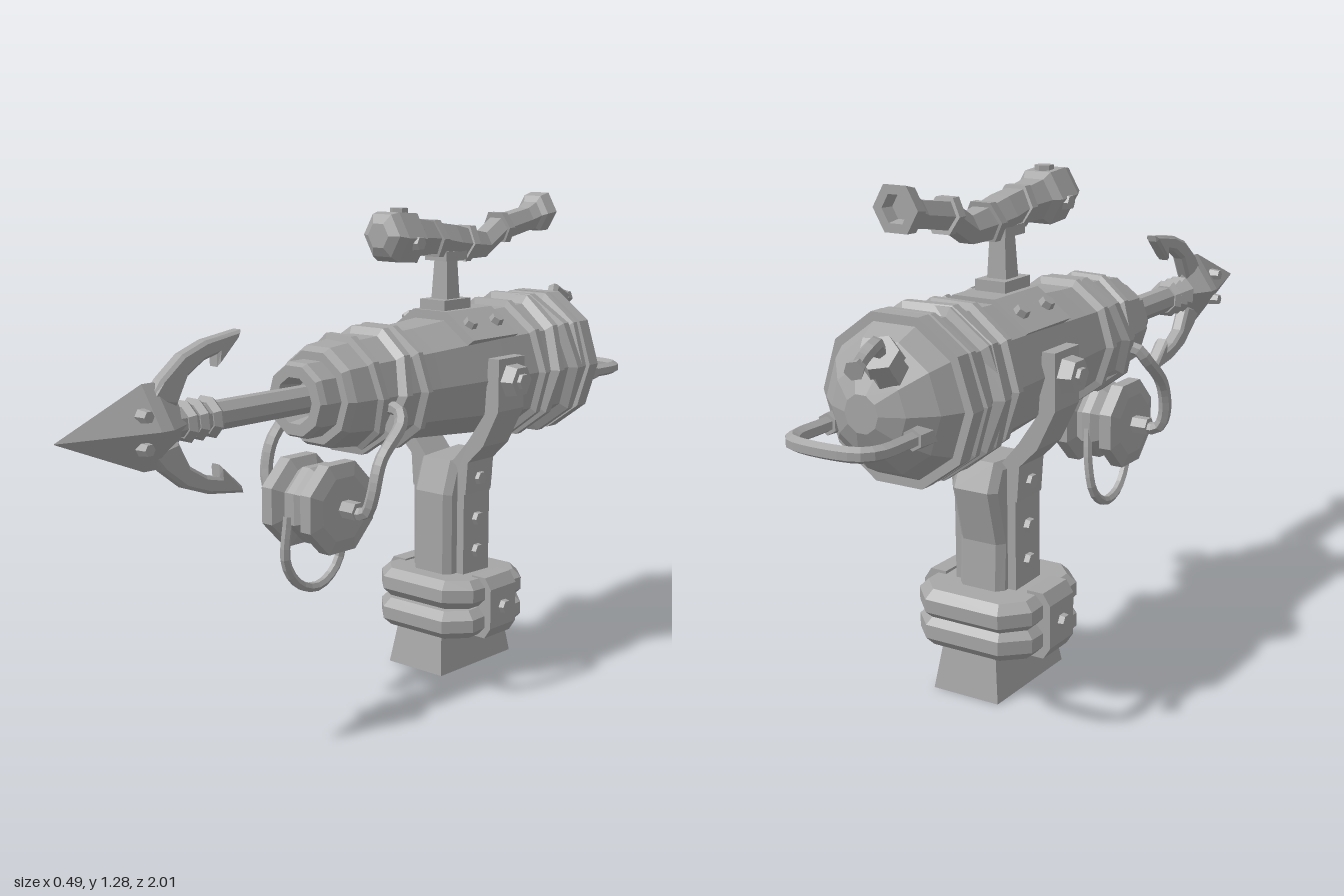
import * as THREE from 'three';

const AXIS = 0.81; // height of the barrel axis

export function createModel() {
  const root = new THREE.Group();
  const metal = new THREE.MeshStandardMaterial({ color: 0xa6a6a6, flatShading: true });
  metal.name = 'grey metal';

  function add(name, geo, x = 0, y = 0, z = 0) {
    const g = geo.index ? geo.toNonIndexed() : geo;
    g.computeVertexNormals();
    const m = new THREE.Mesh(g, metal);
    m.name = name;
    m.position.set(x, y, z);
    root.add(m);
    return m;
  }

  // Capped rings [z, radius, yOffset], listed front to back, optionally slanted
  function loft(rings, n, phase = Math.PI / 2 + Math.PI / n, tiltY = 0, tiltX = 0) {
    const pos = [], idx = [];
    rings.forEach(([z, r, cy = 0]) => {
      for (let j = 0; j < n; j++) {
        const a = phase + (j / n) * Math.PI * 2;
        const x = r * Math.cos(a), y = r * Math.sin(a);
        pos.push(x, y + cy, z + y * tiltY + x * tiltX);
      }
    });
    const last = rings.length - 1, c0 = rings.length * n;
    pos.push(0, rings[0][2] || 0, rings[0][0], 0, rings[last][2] || 0, rings[last][0]);
    for (let j = 0; j < n; j++) {
      const k = (j + 1) % n;
      for (let i = 0; i < last; i++) {
        const a = i * n + j, b = i * n + k, c = a + n, d = b + n;
        idx.push(a, c, b, b, c, d);
      }
      idx.push(c0, j, k, c0 + 1, last * n + k, last * n + j);
    }
    const g = new THREE.BufferGeometry();
    g.setAttribute('position', new THREE.Float32BufferAttribute(pos, 3));
    g.setIndex(idx);
    return g;
  }

  const shape = (pts) => new THREE.Shape(pts.map(([x, y]) => new THREE.Vector2(x, y)));

  function extrude(pts, depth, bevel = 0) {
    const g = new THREE.ExtrudeGeometry(shape(pts), {
      depth: depth - 2 * bevel, bevelEnabled: bevel > 0, bevelThickness: bevel,
      bevelSize: bevel, bevelOffset: -bevel, bevelSegments: 1,
    });
    return g.translate(0, 0, -(depth - 2 * bevel) / 2);
  }

  // Outline given as [z, y], thickness along x
  const sideExtrude = (pts, width, bevel) => extrude(pts, width, bevel).rotateY(-Math.PI / 2);

  function rod(name, a, b, r1, r2 = r1, n = 6) {
    const from = new THREE.Vector3(...a), to = new THREE.Vector3(...b);
    const dir = to.clone().sub(from);
    const m = add(name, new THREE.CylinderGeometry(r2, r1, dir.length(), n));
    m.position.copy(from).add(to).multiplyScalar(0.5);
    m.quaternion.setFromUnitVectors(new THREE.Vector3(0, 1, 0), dir.normalize());
    return m;
  }

  function tube(name, pts, r, seg = 18, closed = false) {
    const c = new THREE.CatmullRomCurve3(pts.map((p) => new THREE.Vector3(...p)), closed, 'centripetal');
    return add(name, new THREE.TubeGeometry(c, seg, r, 6, closed));
  }

  // Barrel with hollow muzzle, rear collar and domed end
  add('barrel', loft([
    [0.22, 0.05], [0.285, 0.06], [0.285, 0.09], [0.27, 0.098], [0.22, 0.098],
    [0.22, 0.12], [0.2, 0.132], [0.1, 0.142], [-0.1, 0.152], [-0.35, 0.172], [-0.68, 0.186],
    [-0.68, 0.204], [-0.72, 0.204], [-0.72, 0.182], [-0.77, 0.155], [-0.82, 0.1], [-0.845, 0.045],
  ], 10), 0, AXIS, 0);

  // Slanted wraps around the barrel: [z, radius, half width, tiltY, tiltX]
  [
    [0.1, 0.155, 0.02, 0.12, 0.12], [0.05, 0.165, 0.022, -0.25, -0.05], [-0.035, 0.168, 0.017, 0.05, 0],
    [-0.505, 0.196, 0.018, 0.05, 0.06], [-0.565, 0.204, 0.022, -0.1, 0.08],
    [-0.61, 0.207, 0.022, 0.12, -0.1], [-0.655, 0.203, 0.017, -0.04, 0],
  ].forEach(([z, r, w, ty, tx]) => add('barrelWrap', loft(
    [[z + w, r - 0.025], [z + w * 0.5, r], [z - w * 0.5, r], [z - w, r - 0.025]],
    10, undefined, ty, tx), 0, AXIS, 0));

  // Saddle plate over the barrel
  const polar = (r, deg) => [r * Math.cos(deg * Math.PI / 180), r * Math.sin(deg * Math.PI / 180)];
  add('saddlePlate', extrude([
    ...[36, 72, 108, 144].map((d) => polar(0.187, d)), ...[144, 108, 72, 36].map((d) => polar(0.15, d)),
  ], 0.19), 0, AXIS, -0.32);

  // Harpoon shaft, binding and head
  add('harpoonShaft', loft([[0.7, 0.036], [0.2, 0.036]], 8), 0, AXIS, 0);
  [0.64, 0.605, 0.565].forEach((z) => add('shaftBinding',
    loft([[z + 0.015, 0.04], [z, 0.053], [z - 0.015, 0.04]], 8, undefined, 0.1), 0, AXIS, 0));
  add('harpoonHead', loft([[1, 0.001], [0.76, 0.1], [0.725, 0.1], [0.66, 0.052]], 4, 0).scale(0.68, 1, 1), 0, AXIS, 0);
  for (const s of [1, -1]) {
    const fluke = [
      [0.75, 0.06], [0.715, 0.105], [0.65, 0.155], [0.58, 0.18], [0.47, 0.195], [0.475, 0.178],
      [0.545, 0.115], [0.545, 0.145], [0.585, 0.135], [0.635, 0.105], [0.67, 0.04],
    ].map(([z, y]) => [z, y * s]);
    add('harpoonFluke', sideExtrude(fluke, 0.04, 0.008), 0, AXIS, 0);
  }

  // Scope: bent hex tube, front cap, flared eyepiece
  add('scopeTube', loft([
    [-0.02, 0.035, 1.195], [-0.035, 0.062, 1.195], [-0.06, 0.073, 1.19], [-0.13, 0.073, 1.185],
    [-0.15, 0.055, 1.185], [-0.22, 0.047, 1.18], [-0.3, 0.052, 1.165], [-0.38, 0.044, 1.155], [-0.44, 0.038, 1.15],
    [-0.51, 0.038, 1.19], [-0.63, 0.036, 1.21], [-0.66, 0.042, 1.22], [-0.67, 0.056, 1.225],
    [-0.705, 0.06, 1.23], [-0.705, 0.036, 1.23], [-0.675, 0.03, 1.23],
  ], 6, 0));
  [[-0.23, 1.178, 0.056], [-0.36, 1.158, 0.054], [-0.52, 1.193, 0.047]].forEach(([z, y, r], i) =>
    add('scopeRing', loft([[z + 0.012, r], [z - 0.012, r]], 6, 0, i % 2 ? -0.2 : 0.2), 0, y, 0));
  add('scopePost', new THREE.CylinderGeometry(0.028, 0.04, 0.17, 4).rotateY(Math.PI / 4), 0, 1.07, -0.29);
  add('scopeFoot', new THREE.BoxGeometry(0.085, 0.04, 0.11), 0, 0.995, -0.29);
  add('scopeClamp', new THREE.BoxGeometry(0.075, 0.025, 0.085), 0, 1.13, -0.29);
  rod('scopeKnob', [0, 1.24, -0.1], [0, 1.262, -0.1], 0.024);

  // Grip and flared foot
  add('grip', sideExtrude([
    [-0.23, 0.2], [-0.23, 0.49], [-0.26, 0.58], [-0.41, 0.59], [-0.44, 0.52], [-0.405, 0.38], [-0.415, 0.2],
  ], 0.13, 0.018));
  const foot = new THREE.BoxGeometry(0.15, 0.13, 0.26);
  const fp = foot.attributes.position;
  for (let i = 0; i < fp.count; i++) {
    if (fp.getY(i) < 0) fp.setXYZ(i, fp.getX(i) * 1.25, fp.getY(i), fp.getZ(i) * 1.16);
  }
  add('gripFoot', foot, 0, 0.065, -0.325);

  // Two thick straps around the grip
  const chamfered = (w, d, c) => [
    [w, d - c], [w - c, d], [c - w, d], [-w, d - c], [-w, c - d], [c - w, -d], [w - c, -d], [w, c - d],
  ];
  [[0.148, 0.03], [0.225, -0.03]].forEach(([y, tilt]) => {
    const band = add('gripStrap', extrude(chamfered(0.165, 0.165, 0.06), 0.078, 0.022).rotateX(Math.PI / 2), 0, y, -0.325);
    band.rotation.x = tilt;
  });

  // Reel under the muzzle
  const half = [[0.095, 0.085], [0.085, 0.122], [0.05, 0.122], [0.035, 0.09], [0.012, 0.105]];
  const reel = [...half, ...half.slice().reverse().map(([z, r]) => [-z, r])];
  add('reel', loft(reel, 8).rotateY(Math.PI / 2), 0, 0.54, 0.205);
  rod('reelAxle', [-0.14, 0.54, 0.205], [0.14, 0.54, 0.205], 0.024);
  tube('reelLine', [[-0.01, 0.52, 0.3], [-0.015, 0.4, 0.305], [-0.02, 0.33, 0.25], [-0.02, 0.315, 0.18],
    [-0.02, 0.36, 0.115], [-0.01, 0.44, 0.105], [0, 0.54, 0.12]], 0.013, 20);

  // Mirrored parts
  for (const s of [1, -1]) {
    const bolt = (x, y, z, r = 0.022, h = 0.03) => rod('bolt', [s * (x - h), y, z], [s * x, y, z], r, r * 0.8);
    // Yoke arm from barrel pivot to grip
    add('yokeArm', extrude([
      [0.165, 0.87], [0.2, 0.87], [0.2, 0.73], [0.15, 0.63], [0.1, 0.58], [0.093, 0.49],
      [0.04, 0.49], [0.04, 0.57], [0.1, 0.64], [0.155, 0.72],
    ].map(([x, y]) => [x * s, y]), 0.11), 0, 0, -0.325);
    bolt(0.235, AXIS, -0.325, 0.052, 0.06);
    bolt(0.245, AXIS, -0.325, 0.026, 0.03);
    // Grip side plate and strap buckle
    add('gripPlate', new THREE.BoxGeometry(0.04, 0.28, 0.11), s * 0.068, 0.39, -0.325);
    add('strapBuckle', extrude([[0.12, 0.1], [0.165, 0.1], [0.185, 0.13], [0.185, 0.24], [0.165, 0.27], [0.12, 0.27]]
      .map(([x, y]) => [x * s, y]), 0.11), 0, 0, -0.325);
    bolt(0.2, 0.185, -0.325);
    [0.325, 0.415, 0.53].forEach((y, i) => bolt(i === 2 ? 0.108 : 0.102, y, -0.325));
    // Reel hanger bracket
    tube('reelBracket', [[s * 0.11, 0.78, 0.08], [s * 0.165, 0.78, 0.085], [s * 0.185, 0.75, 0.1], [s * 0.19, 0.67, 0.18],
      [s * 0.185, 0.58, 0.205], [s * 0.165, 0.54, 0.205], [s * 0.11, 0.535, 0.205]], 0.017, 20);
    // Head and scope rivets
    [0.847, 0.773].forEach((y) => bolt(0.062, y, 0.79, 0.018, 0.03));
    bolt(0.078, 1.175, -0.1, 0.022, 0.03);
    // Saddle bolts
    [-0.265, -0.375].forEach((z) => {
      const [x0, y0] = polar(0.165, 54), [x1, y1] = polar(0.195, 54);
      rod('saddleBolt', [s * x0, AXIS + y0, z], [s * x1, AXIS + y1, z], 0.022, 0.017);
    });
    rod('handleSocket', [s * 0.115, 0.765, -0.73], [s * 0.115, 0.765, -0.82], 0.03, 0.026);
  }

  // Rear handle
  tube('rearHandle', [[-0.115, 0.765, -0.74], [-0.115, 0.765, -0.85], [-0.112, 0.765, -0.93], [-0.085, 0.765, -0.965],
    [0.085, 0.765, -0.965], [0.112, 0.765, -0.93], [0.115, 0.765, -0.85], [0.115, 0.765, -0.74]], 0.018, 28);

  // Fuse with its socket
  rod('fuseSocket', [-0.04, 0.88, -0.78], [-0.058, 0.95, -0.85], 0.048, 0.036);
  rod('fuseCollar', [-0.052, 0.932, -0.832], [-0.06, 0.955, -0.855], 0.05, 0.044);
  tube('fuse', [[-0.055, 0.94, -0.84], [-0.068, 0.975, -0.872], [-0.09, 0.985, -0.91],
    [-0.09, 0.965, -0.95], [-0.105, 0.955, -0.99]], 0.017, 12);
  rod('fuseEnd', [-0.1, 0.957, -0.975], [-0.108, 0.953, -0.998], 0.018, 0.022);

  return root;
}
